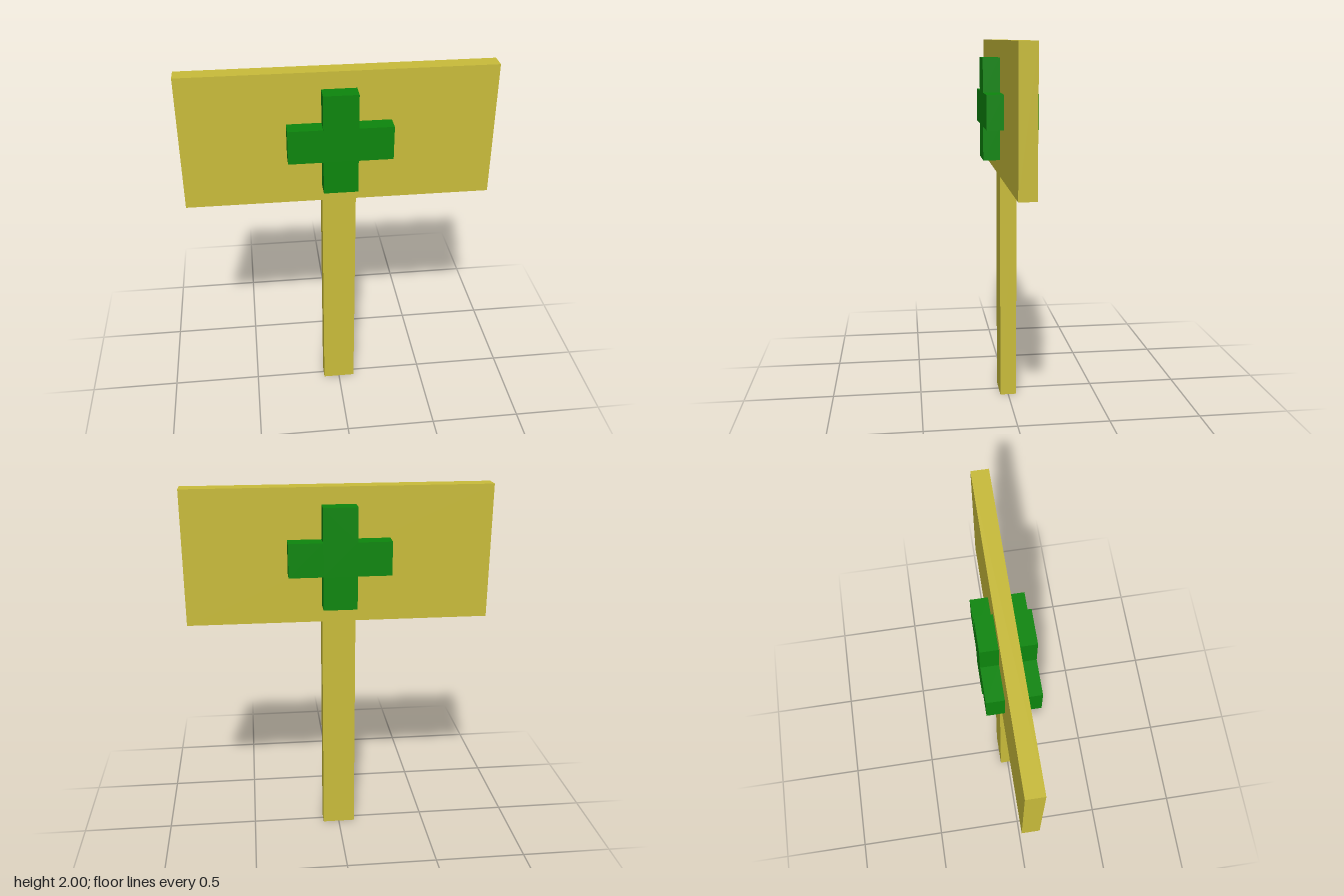
import * as THREE from 'three';

// One grid unit: the sign is 22 units tall
const U = 2 / 22;

export function createModel() {
  const model = new THREE.Group();
  model.name = 'signpost';

  const yellow = new THREE.MeshStandardMaterial({ color: 0xcabd3b });
  yellow.name = 'yellow';
  const green = new THREE.MeshStandardMaterial({ color: 0x0d870d });
  green.name = 'green';

  const add = (name, geometry, material, y, z = 0) => {
    const mesh = new THREE.Mesh(geometry, material);
    mesh.name = name;
    mesh.position.set(0, y * U, z * U);
    model.add(mesh);
    return mesh;
  };

  // Post and board
  add('post', new THREE.BoxGeometry(2 * U, 14 * U, U), yellow, 7);
  add('board', new THREE.BoxGeometry(18 * U, 8 * U, U), yellow, 18);

  // Raised cross on each side of the board
  const outline = [
    [-1, -3], [1, -3], [1, -1], [3, -1], [3, 1], [1, 1],
    [1, 3], [-1, 3], [-1, 1], [-3, 1], [-3, -1], [-1, -1],
  ].map(([x, y]) => new THREE.Vector2(x * U, y * U));
  const cross = new THREE.ExtrudeGeometry(new THREE.Shape(outline), { depth: U, bevelEnabled: false });
  add('frontCross', cross, green, 18, 0.5);
  add('backCross', cross, green, 18, -0.5).rotation.y = Math.PI;

  return model;
}
